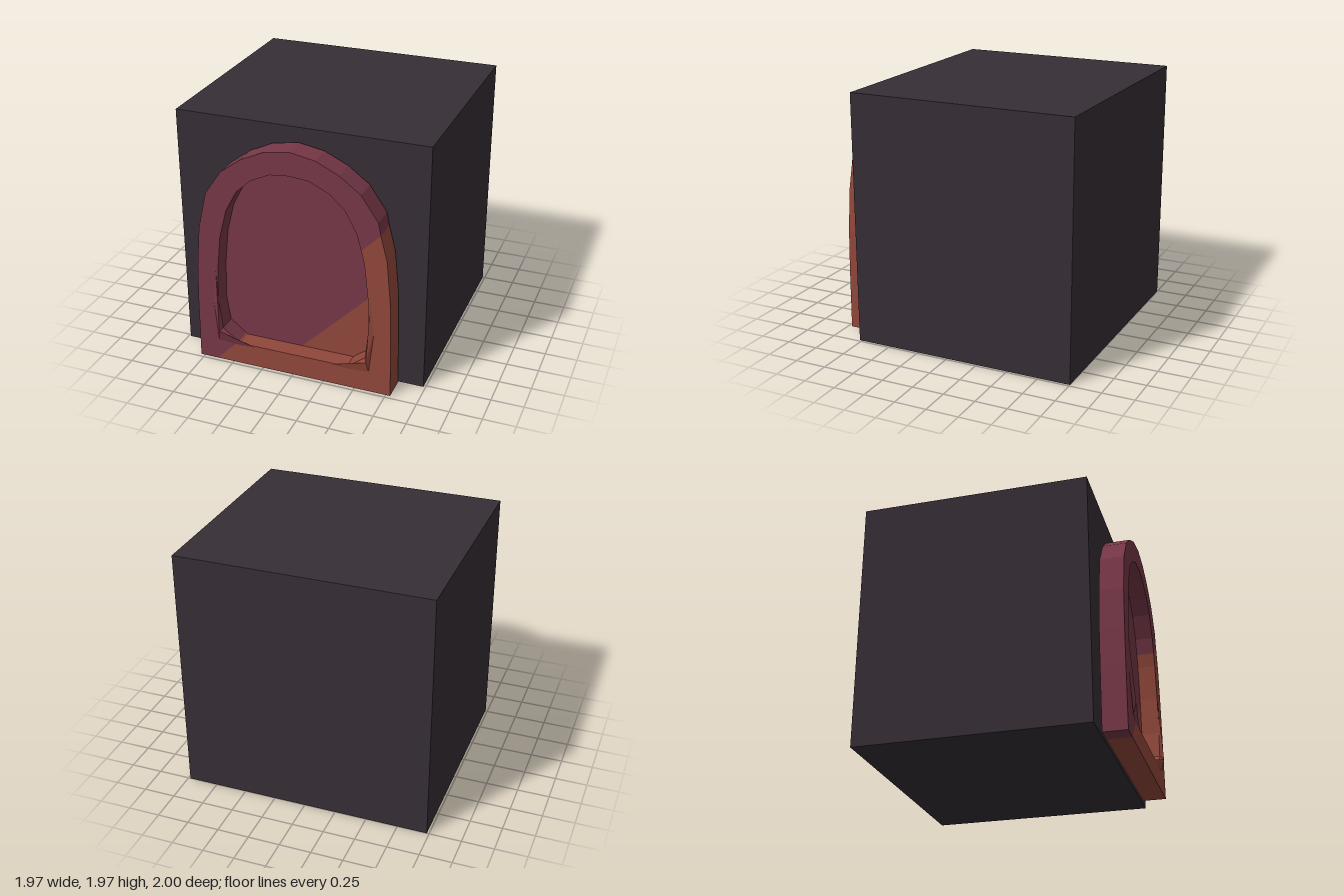
import * as THREE from 'three';

const mat = (name, color, side = THREE.FrontSide) => {
  const m = new THREE.MeshStandardMaterial({ color, side });
  m.name = name;
  return m;
};

export function createModel() {
  const group = new THREE.Group();
  const charcoal = mat('charcoal', 0x362e36);
  const maroon = mat('maroon', 0x773747, THREE.DoubleSide);
  const rust = mat('rust', 0x91473b, THREE.DoubleSide);

  const add = (name, geometry, material) => {
    const mesh = new THREE.Mesh(geometry, material);
    mesh.name = name;
    group.add(mesh);
    return mesh;
  };
  const mirror = (pts) => pts.map(([x, y]) => [-x, y]).reverse();
  const slab = (name, pts, z0, z1, material) => {
    const shape = new THREE.Shape(pts.map(([x, y]) => new THREE.Vector2(x, y)));
    const geo = new THREE.ExtrudeGeometry(shape, { depth: z1 - z0, bevelEnabled: false });
    return add(name, geo.translate(0, 0, z0), material);
  };

  // Solid block behind the arch
  add('block', new THREE.BoxGeometry(1.965, 1.97, 1.77).translate(0, 0.985, -0.115), charcoal);

  // Right halves of the arch outlines, bottom to top, split at the diagonal colour line
  const outerLow = [[0.785, 0], [0.78, 0.5], [0.77, 0.8], [0.74, 1.13]];
  const outerHigh = [[0.67, 1.43], [0.54, 1.62], [0.38, 1.74], [0.2, 1.825]];
  const innerLow = [[0.44, 0.18], [0.58, 0.29], [0.61, 0.5], [0.6, 0.8], [0.57, 1.08]];
  const innerHigh = [[0.51, 1.31], [0.42, 1.48], [0.3, 1.59], [0.15, 1.66]];
  const outerCut = [0.69, 1.33], innerCut = [0.545, 1.185];
  const sillCut = [-0.455, 0.19], footCut = [-0.64, 0];

  // Arch frame: lower right in rust, the rest in maroon
  slab('frameLower', [
    footCut, ...outerLow, outerCut,
    innerCut, ...[...innerLow].reverse(), [-0.44, 0.18], sillCut,
  ], 0.785, 0.97, rust);
  slab('frameUpper', [
    outerCut, ...outerHigh, [0, 1.86], ...mirror([...outerLow, ...outerHigh]), footCut,
    sillCut, ...innerLow.slice(1).map(([x, y]) => [-x, y]),
    ...innerHigh.map(([x, y]) => [-x, y]), [0, 1.675], ...[...innerHigh].reverse(), innerCut,
  ], 0.785, 0.97, maroon);

  // Recessed panel with its own diagonal colour line
  const panelCutA = [0.02, 0.18], panelCutB = [0.6, 0.76];
  slab('panelLower', [panelCutA, ...innerLow.slice(0, 3), panelCutB], 0.785, 0.83, rust);
  slab('panelUpper', [
    panelCutA, panelCutB, ...innerLow.slice(3), ...innerHigh, [0, 1.675],
    ...mirror([...innerLow, ...innerHigh]),
  ], 0.785, 0.83, maroon);

  // Shallow raised lips on the two lower corners of the opening
  const apex = [0.6, 0.27, 1.0];
  const ring = [
    [0.3, 0.165, 0.969], [0.44, 0.16, 0.969], [0.615, 0.18, 0.978], [0.65, 0.52, 0.969],
    [0.62, 0.8, 0.969], [0.605, 0.5, 0.969], [0.58, 0.29, 0.969], [0.44, 0.18, 0.969],
  ];
  for (const side of [1, -1]) {
    const pos = [];
    ring.forEach((p, i) => {
      const q = ring[(i + 1) % ring.length];
      const tri = side > 0 ? [apex, p, q] : [apex, q, p];
      tri.forEach(([x, y, z]) => pos.push(x * side, y, z));
    });
    const geo = new THREE.BufferGeometry();
    geo.setAttribute('position', new THREE.Float32BufferAttribute(pos, 3));
    geo.computeVertexNormals();
    add(side > 0 ? 'leftCornerLip' : 'rightCornerLip', geo, side > 0 ? rust : maroon);
  }
  return group;
}
